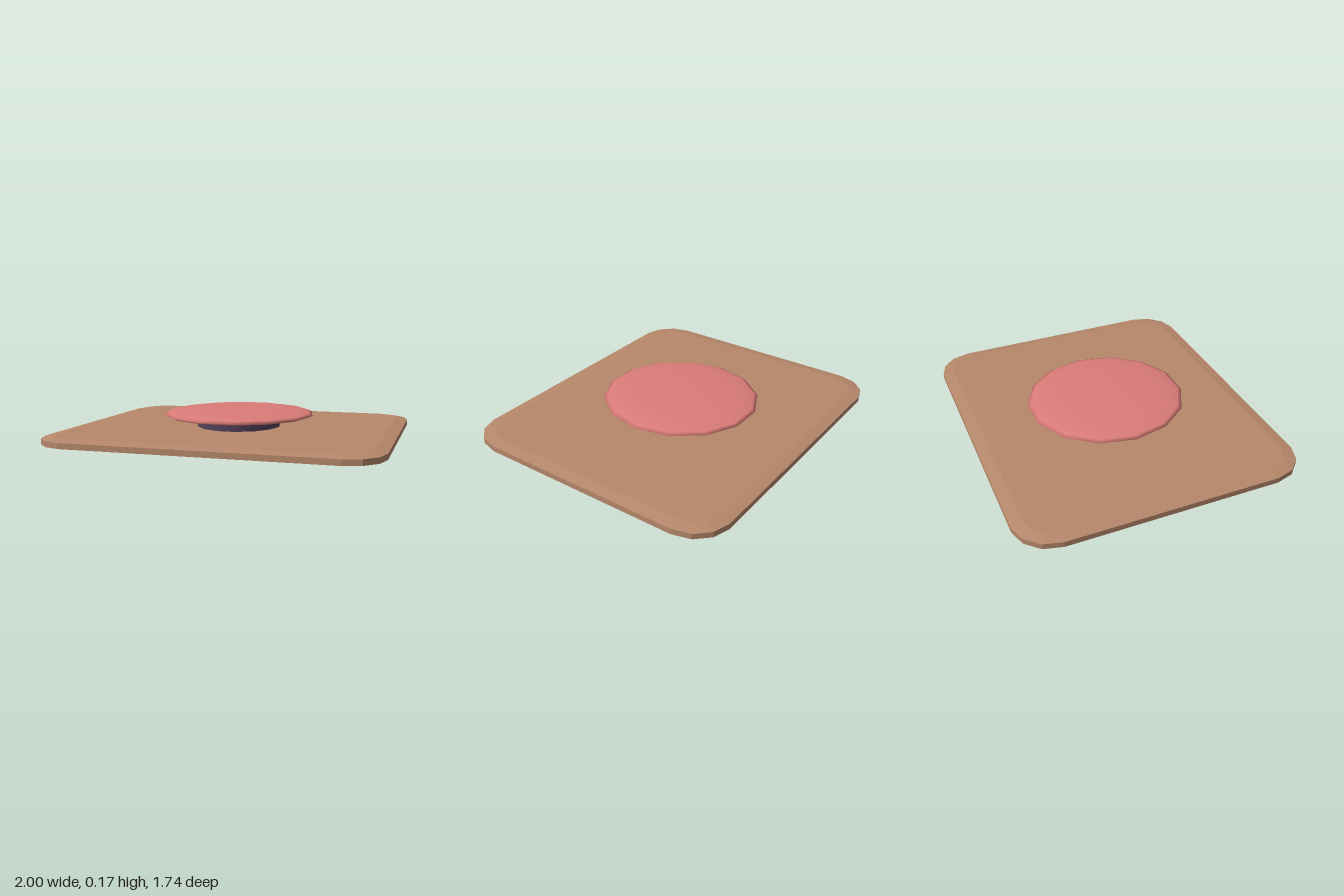
import * as THREE from 'three';

export function createModel() {
  const group = new THREE.Group();
  const tan = new THREE.MeshStandardMaterial({ name: 'tan', color: 0xb6886b });
  const pink = new THREE.MeshStandardMaterial({ name: 'pink', color: 0xdb7c79 });
  const plum = new THREE.MeshStandardMaterial({ name: 'plum', color: 0x51405a });

  const add = (name, geometry, material, y) => {
    const mesh = new THREE.Mesh(geometry, material);
    mesh.name = name;
    mesh.position.y = y;
    group.add(mesh);
  };

  // Base plate: rounded rectangle with shallow bevels above and below
  const corner = [[1, 0.645], [0.97, 0.757], [0.895, 0.835], [0.795, 0.868]];
  const outline = [];
  for (const [sx, sy] of [[1, 1], [-1, 1], [-1, -1], [1, -1]]) {
    const points = corner.map(([x, y]) => new THREE.Vector2(x * sx, y * sy));
    outline.push(...(sx * sy > 0 ? points : points.reverse()));
  }
  const plate = new THREE.ExtrudeGeometry(new THREE.Shape(outline), {
    depth: 0.034, bevelEnabled: true, bevelSegments: 1,
    bevelThickness: 0.012, bevelSize: 0.07, bevelOffset: -0.07,
  });
  plate.rotateX(-Math.PI / 2);
  add('basePlate', plate, tan, 0.012);

  // Short stem between plate and cap
  const stem = new THREE.CylinderGeometry(0.285, 0.285, 0.065, 14);
  stem.rotateY(Math.PI / 2);
  stem.scale(0.92, 1, 1);
  add('stem', stem, plum, 0.0825);

  // Flattened fourteen-sided cap
  const cap = new THREE.SphereGeometry(1, 14, 10);
  cap.scale(0.472, 0.038, 0.495);
  add('cap', cap, pink, 0.136);

  return group;
}
